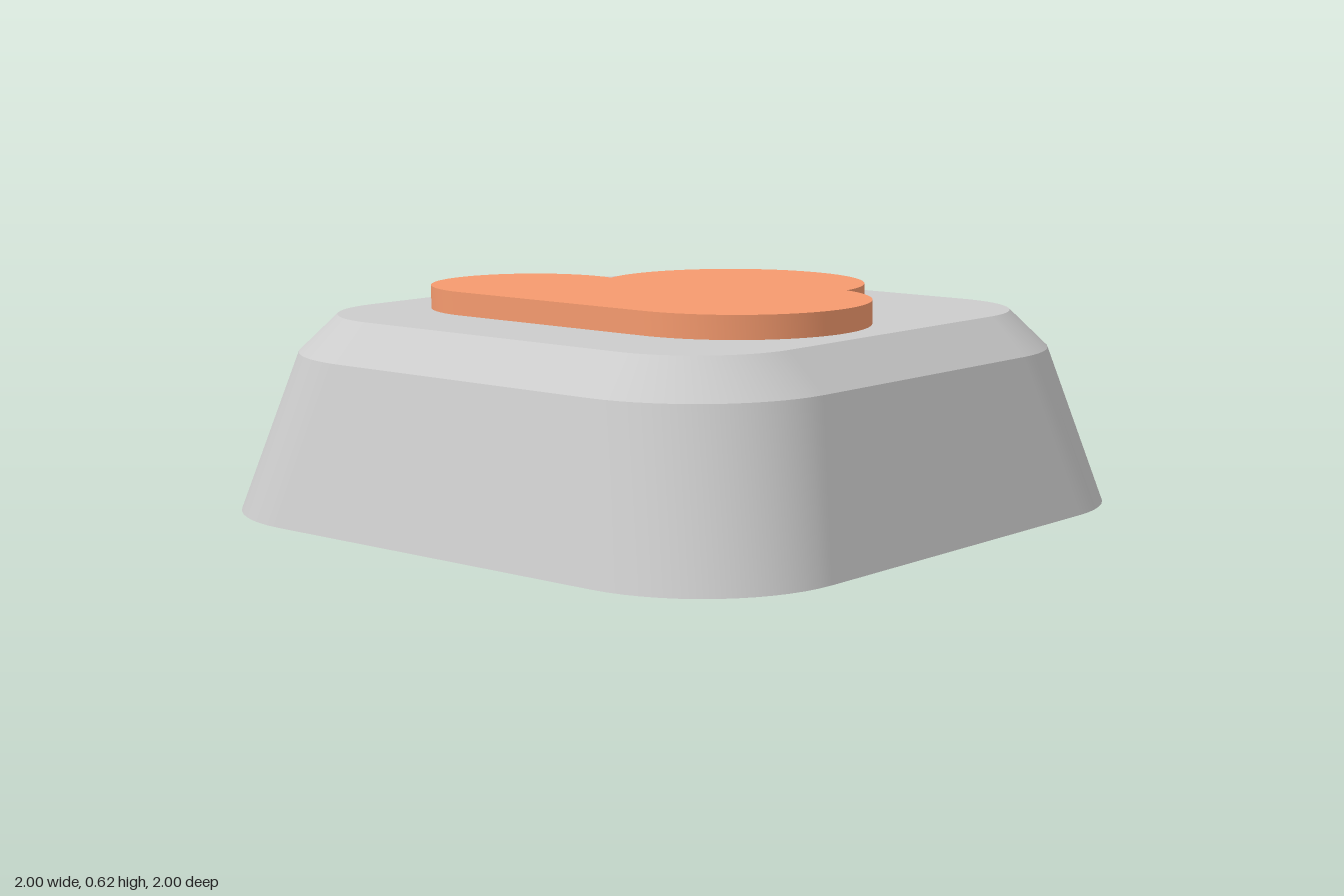
import * as THREE from 'three';
import { toCreasedNormals } from 'three/addons/utils/BufferGeometryUtils.js';

const grey = new THREE.MeshStandardMaterial({ color: 0xcccccc });
const orange = new THREE.MeshStandardMaterial({ color: 0xf59a6e });
const rad = THREE.MathUtils.degToRad;

// Rounded square outline at height y, counter-clockwise seen from above
function roundedSquare(half, r, y, steps = 14) {
  const points = [];
  for (let c = 0; c < 4; c++) {
    const mid = rad(45 + 90 * c);
    const cx = Math.sign(Math.cos(mid)) * (half - r);
    const cz = -Math.sign(Math.sin(mid)) * (half - r);
    for (let i = 0; i <= steps; i++) {
      const a = rad(90 * (c + i / steps));
      points.push([cx + r * Math.cos(a), y, cz - r * Math.sin(a)]);
    }
  }
  return points;
}

// Skin over successive rings; each band has its own vertices so ring edges stay sharp
function loft(rings) {
  const positions = [], index = [];
  const n = rings[0].length;
  for (let b = 0; b < rings.length - 1; b++) {
    const base = b * 2 * n;
    positions.push(...rings[b].flat(), ...rings[b + 1].flat());
    for (let i = 0; i < n; i++) {
      const j = (i + 1) % n;
      const a0 = base + i, a1 = base + j, b0 = base + n + i, b1 = base + n + j;
      index.push(a0, b0, b1, a0, b1, a1);
    }
  }
  const g = new THREE.BufferGeometry();
  g.setAttribute('position', new THREE.Float32BufferAttribute(positions, 3));
  g.setIndex(index);
  g.computeVertexNormals();
  return g;
}

// Extrudes a plan shape upward from height y (shape y points to the back)
function slab(shape, y, height) {
  const g = new THREE.ExtrudeGeometry(shape, { depth: height, bevelEnabled: false, curveSegments: 40 });
  g.rotateX(-Math.PI / 2).translate(0, y, 0);
  return toCreasedNormals(g, rad(35));
}

// Plus outline: arm reach, arm half width and rounding of the arm ends (inner corners stay sharp)
function plus(path, reach, w, r) {
  const pts = [];
  for (let k = 0; k < 4; k++) {
    const c = Math.round(Math.cos(k * Math.PI / 2)), s = Math.round(Math.sin(k * Math.PI / 2));
    for (const [x, y] of [[reach, -w], [reach, w], [w, w]]) {
      pts.push(new THREE.Vector2(x * c - y * s, x * s + y * c));
    }
  }
  pts.forEach((p, i) => {
    const round = i % 3 === 2 ? 0 : r;
    const a = p.clone().add(pts[(i + 11) % 12].clone().sub(p).setLength(round));
    const b = p.clone().add(pts[(i + 1) % 12].clone().sub(p).setLength(round));
    if (i === 0) path.moveTo(a.x, a.y); else path.lineTo(a.x, a.y);
    if (round > 0) path.quadraticCurveTo(p.x, p.y, b.x, b.y);
  });
  path.closePath();
  return path;
}

export function createModel() {
  const model = new THREE.Group();
  const add = (name, geometry, material = grey) => {
    const mesh = new THREE.Mesh(geometry, material);
    mesh.name = name;
    model.add(mesh);
  };

  // Hollow cap: top face, chamfer, skirt, bottom rim, then inner wall, inner chamfer, ceiling
  const ceiling = 0.45;
  add('capShell', loft([
    roundedSquare(0, 0, 0.555),
    roundedSquare(0.77, 0.31, 0.555),
    roundedSquare(0.88, 0.42, 0.45),
    roundedSquare(1, 0.42, 0),
    roundedSquare(0.8, 0.36, 0),
    roundedSquare(0.705, 0.34, 0.345),
    roundedSquare(0.605, 0.25, ceiling),
    roundedSquare(0, 0, ceiling),
  ]));

  // Raised cloud of three lobes with a flat front edge
  const cloud = new THREE.Shape();
  cloud.absarc(0.303, -0.11, 0.38, rad(-90), rad(71.6), false);
  cloud.absarc(0.043, 0.207, 0.38, rad(6), rad(200), false);
  cloud.absarc(-0.378, -0.205, 0.285, rad(78), rad(270), false);
  cloud.closePath();
  add('cloud', slab(cloud, 0.55, 0.071), orange);

  // Mounting stem with a cross-shaped socket
  const stem = plus(new THREE.Shape(), 0.31, 0.17, 0.1);
  stem.holes.push(plus(new THREE.Path(), 0.23, 0.075, 0));
  add('stem', slab(stem, 0, ceiling));

  // Ribs under the ceiling, running from the stem into the inner chamfer
  for (let k = 0; k < 4; k++) {
    const rib = new THREE.BoxGeometry(0.4, 0.09, 0.07).translate(0.48, 0.415, 0);
    add('rib', rib.rotateY(k * Math.PI / 2));
  }
  return model;
}
